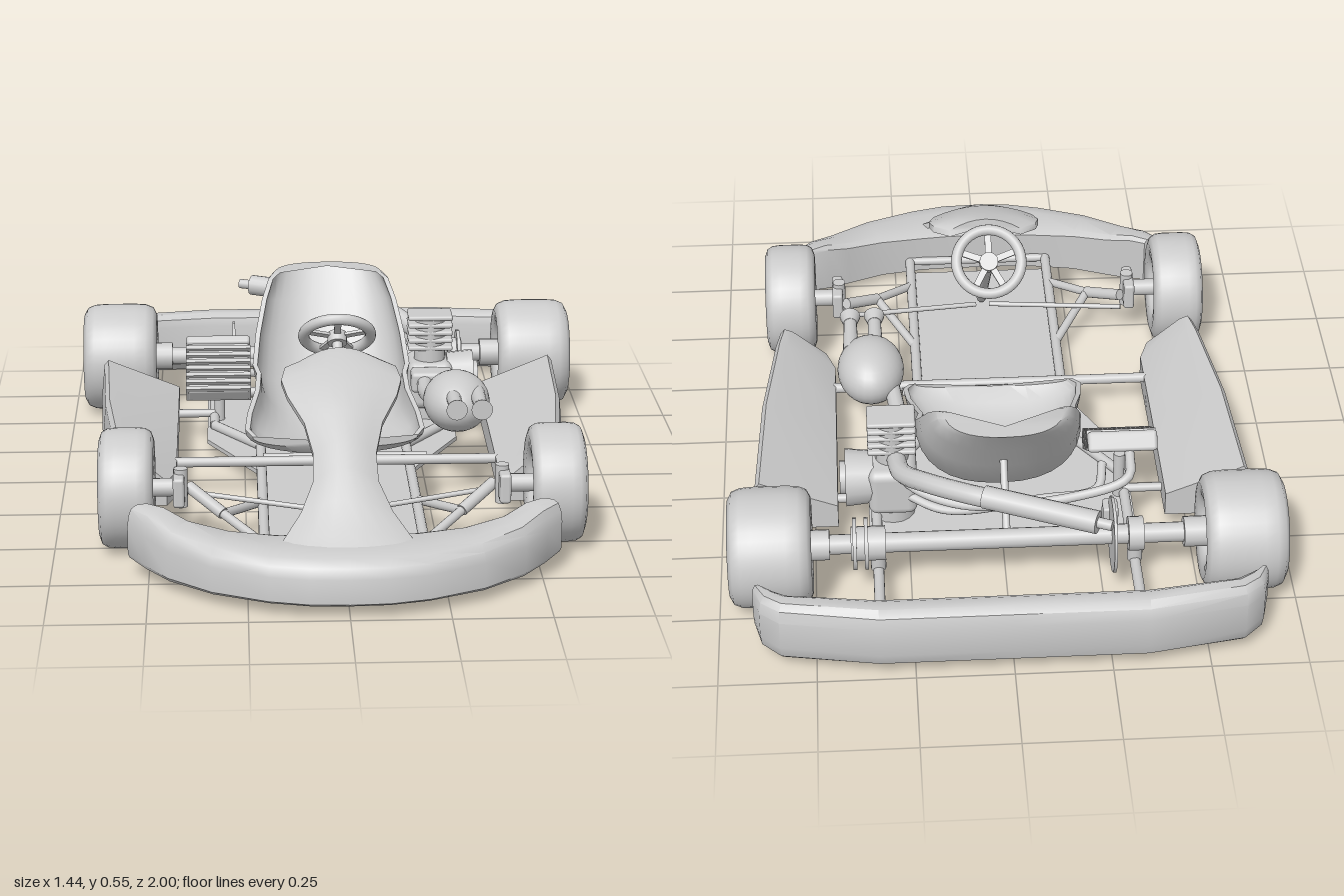
import * as THREE from 'three';
import { toCreasedNormals } from 'three/addons/utils/BufferGeometryUtils.js';
import { RoundedBoxGeometry } from 'three/addons/geometries/RoundedBoxGeometry.js';

const material = new THREE.MeshStandardMaterial({ color: 0xcccccc });
const V = (p) => new THREE.Vector3(...p);

function add(parent, name, geometry, pos = [0, 0, 0], rot = [0, 0, 0]) {
  const mesh = new THREE.Mesh(geometry, material);
  mesh.name = name;
  mesh.position.set(...pos);
  mesh.rotation.set(...rot);
  parent.add(mesh);
  return mesh;
}

// Straight round bar between two points
function rod(parent, name, a, b, r = 0.012, r2 = r) {
  const d = V(b).sub(V(a));
  const mesh = add(parent, name, new THREE.CylinderGeometry(r2, r, d.length(), 16));
  mesh.position.copy(V(a)).addScaledVector(d, 0.5);
  mesh.quaternion.setFromUnitVectors(new THREE.Vector3(0, 1, 0), d.normalize());
  return mesh;
}

function hose(parent, name, pts, r) {
  return add(parent, name, new THREE.TubeGeometry(new THREE.CatmullRomCurve3(pts.map(V)), 40, r, 12));
}

// Capped skin over closed cross-sections, turned outward by its signed volume
function loft(rings, crease = 0.6) {
  const n = rings[0].length, last = rings.length - 1, pos = rings.flat(2), idx = [];
  for (let i = 0; i < last; i++) for (let j = 0; j < n; j++) {
    const a = i * n + j, b = i * n + (j + 1) % n;
    idx.push(a, b, a + n, b, b + n, a + n);
  }
  [0, last].forEach((i, k) => {
    const c = pos.length / 3;
    for (let d = 0; d < 3; d++) pos.push(rings[i].reduce((s, p) => s + p[d], 0) / n);
    for (let j = 0; j < n; j++) {
      const a = i * n + j, b = i * n + (j + 1) % n;
      idx.push(c, ...(k ? [a, b] : [b, a]));
    }
  });
  const at = (i) => new THREE.Vector3().fromArray(pos, i * 3);
  let volume = 0;
  for (let i = 0; i < idx.length; i += 3) volume += at(idx[i]).dot(at(idx[i + 1]).cross(at(idx[i + 2])));
  if (volume < 0) idx.reverse();
  const g = new THREE.BufferGeometry();
  g.setAttribute('position', new THREE.Float32BufferAttribute(pos, 3));
  g.setIndex(idx);
  return toCreasedNormals(g, crease);
}

// Bumper from half stations [outer x, outer z, inner x, inner z, bottom, top]
function bumper(half, section) {
  const all = [...half.slice(1).reverse().map(([a, b, c, d, e, f]) => [-a, b, -c, d, e, f]), ...half];
  return loft(all.map(([xo, zo, xi, zi, y0, y1]) =>
    section.map(([u, v]) => [xo + (xi - xo) * u, y0 + (y1 - y0) * v, zo + (zi - zo) * u])));
}

function wheel(width, rim) {
  const w = width / 2, r = 0.157;
  const profile = [[0, -w * 0.3], [rim * 0.75, -w * 0.3], [rim * 0.95, -w * 0.85], [rim * 1.1, -w * 0.95], [r * 0.8, -w],
    [r * 0.93, -w * 0.9], [r * 0.985, -w * 0.7], [r, -w * 0.4], [r, w * 0.4], [r * 0.985, w * 0.7], [r * 0.93, w * 0.9],
    [r * 0.8, w], [rim * 1.1, w * 0.95], [rim * 0.95, w * 0.85], [rim * 0.75, w * 0.25], [0.03, w * 0.2],
    [0.026, w * 0.45], [0.012, w * 0.5], [0, w * 0.5]].map((p) => new THREE.Vector2(...p));
  return toCreasedNormals(new THREE.LatheGeometry(profile, 40), 0.75);
}

export function createModel() {
  const kart = new THREE.Group();
  kart.name = 'goKart';

  // Floor pan
  const pan = new THREE.Shape([[-0.2, -0.73], [0.2, -0.73], [0.21, -0.09], [0.355, 0.18], [0.355, 0.55],
    [-0.355, 0.55], [-0.355, 0.18], [-0.21, -0.09]].map((p) => new THREE.Vector2(...p)));
  add(kart, 'floorPan', new THREE.ExtrudeGeometry(pan, { depth: 0.012, bevelEnabled: false }), [0, 0.05, 0], [-Math.PI / 2, 0, 0]);

  // Nose bumper and steering fairing
  add(kart, 'noseBumper', bumper([[0, 0.995, 0, 0.79, 0.035, 0.16], [0.1, 0.99, 0.085, 0.79, 0.035, 0.16],
    [0.2, 0.965, 0.17, 0.785, 0.035, 0.158], [0.34, 0.9, 0.29, 0.765, 0.035, 0.162], [0.45, 0.81, 0.39, 0.725, 0.036, 0.172],
    [0.51, 0.745, 0.45, 0.69, 0.045, 0.193], [0.553, 0.69, 0.495, 0.667, 0.055, 0.195]],
  [[0.08, 0], [0, 0.08], [0, 0.6], [0.06, 0.8], [0.18, 0.94], [0.4, 1], [0.85, 1], [1, 0.92], [1, 0]]));
  const fairing = [[0.93, 0.145, 0.24], [0.86, 0.185, 0.17], [0.79, 0.245, 0.115], [0.72, 0.3, 0.083], [0.65, 0.35, 0.08],
    [0.57, 0.405, 0.1], [0.49, 0.452, 0.142], [0.43, 0.475, 0.156], [0.38, 0.493, 0.145], [0.345, 0.5, 0.1]];
  const across = [-1, -0.75, -0.5, -0.25, 0, 0.25, 0.5, 0.75, 1];
  add(kart, 'steeringFairing', loft(fairing.map(([z, y, w]) => [
    ...across.map((u) => [u * w, y - 0.035 * u * u, z]),
    ...across.slice().reverse().map((u) => [u * w, y - 0.015 - 0.035 * u * u, z - 0.008])]), 0.8));

  // Rear bumper
  add(kart, 'rearBumper', bumper([[0, -1, 0, -0.91, 0.035, 0.21], [0.34, -1, 0.34, -0.91, 0.035, 0.21],
    [0.59, -0.955, 0.57, -0.88, 0.035, 0.21], [0.64, -0.91, 0.6, -0.86, 0.04, 0.205], [0.658, -0.84, 0.635, -0.835, 0.055, 0.195]],
  [[0.3, 0], [0.08, 0.1], [0, 0.28], [0, 0.75], [0.12, 0.92], [0.35, 1], [0.7, 1], [0.92, 0.93], [1, 0.8], [1, 0.12], [0.8, 0]]));

  // Bucket seat
  const seat = [[0.13, 0.05, 0.215, 0.02, 1, 0], [0.1, 0.015, 0.235, 0.06, 1, 0], [0.08, -0.06, 0.228, 0.1, 1, 0],
    [0.075, -0.16, 0.205, 0.14, 1, 0], [0.085, -0.27, 0.2, 0.18, 0.9, 0.3], [0.15, -0.385, 0.21, 0.18, 0.6, 0.7],
    [0.27, -0.465, 0.2, 0.14, 0.4, 0.9], [0.37, -0.53, 0.18, 0.115, 0.3, 0.95], [0.44, -0.58, 0.16, 0.105, 0.1, 1],
    [0.462, -0.597, 0.14, 0.1, 0, 1]];
  const angles = Array.from({ length: 17 }, (_, i) => (i / 16 - 0.5) * Math.PI);
  const seatRow = ([y, z, w, h, dy, dz], gap) => angles.map((a) => {
    const c = Math.max(0, Math.cos(a)), lift = h * (1 - c ** 0.8) - gap * c;
    return [(w + gap) * Math.sign(a) * Math.abs(Math.sin(a)) ** 0.85, y + dy * lift, z + dz * lift];
  });
  add(kart, 'seat', loft(seat.map((s) => [...seatRow(s, 0), ...seatRow(s, 0.014).reverse()]), 0.9));

  // Mirrored parts
  const rearTyre = wheel(0.215, 0.085), frontTyre = wheel(0.143, 0.085);
  for (const s of [-1, 1]) {
    const side = new THREE.Group();
    side.name = s > 0 ? 'leftSide' : 'rightSide';
    kart.add(side);
    const turn = [0, 0, -s * Math.PI / 2];
    add(side, 'rearWheel', rearTyre, [s * 0.613, 0.163, -0.652], turn);
    add(side, 'frontWheel', frontTyre, [s * 0.56, 0.163, 0.47], turn);
    rod(side, 'rearHub', [s * 0.46, 0.163, -0.652], [s * 0.57, 0.163, -0.652], 0.04);
    rod(side, 'axleBearing', [s * 0.315, 0.163, -0.652], [s * 0.355, 0.163, -0.652], 0.045);
    rod(side, 'bearingPost', [s * 0.335, 0.08, -0.652], [s * 0.335, 0.163, -0.652], 0.02);

    // Side pod
    const pod = [[-0.455, 0.665, 0.06, 0.215], [-0.1, 0.648, 0.05, 0.212], [0.2, 0.613, 0.035, 0.2], [0.27, 0.6, 0.035, 0.196]];
    add(side, 'sidePod', loft(pod.map(([z, x, y0, y1], i) => [[0.437 + (i === 3 ? 0.025 : 0), y0], [x - 0.04, y0], [x, y0 + 0.04],
      [x - 0.01, y1 - 0.015], [x - 0.022, y1], [x - 0.045, y1 - 0.01], [0.437 + (i === 3 ? 0.025 : 0), y0 + 0.07]]
      .map(([px, py]) => [s * px, py, z])), 0.5));

    // Frame rails and pod bars
    rod(side, 'frontRail', [s * 0.205, 0.07, -0.1], [s * 0.205, 0.07, 0.84], 0.014);
    rod(side, 'middleRail', [s * 0.205, 0.07, -0.1], [s * 0.335, 0.07, -0.28], 0.014);
    rod(side, 'rearRail', [s * 0.335, 0.07, -0.28], [s * 0.335, 0.09, -0.93], 0.014);
    rod(side, 'podRearBar', [s * 0.33, 0.08, -0.36], [s * 0.47, 0.08, -0.36]);

    // Front suspension and stub axle
    const joint = [s * 0.31, 0.11, 0.53];
    rod(side, 'suspensionArm', [s * 0.205, 0.07, 0.34], joint);
    rod(side, 'suspensionArm', [s * 0.205, 0.07, 0.65], joint);
    rod(side, 'steeringYoke', joint, [s * 0.4, 0.155, 0.445], 0.016);
    rod(side, 'kingpin', [s * 0.42, 0.11, 0.47], [s * 0.42, 0.215, 0.47], 0.018);
    add(side, 'brakeCaliper', new RoundedBoxGeometry(0.03, 0.08, 0.11, 2, 0.008), [s * 0.425, 0.163, 0.47]);
    rod(side, 'stubAxle', [s * 0.41, 0.163, 0.47], [s * 0.55, 0.163, 0.47], 0.024);
    rod(side, 'tieRod', [s * 0.02, 0.1, 0.5], [s * 0.4, 0.13, 0.42], 0.007);
  }
  rod(kart, 'podCrossBar', [-0.47, 0.1, 0.11], [0.47, 0.1, 0.11], 0.014);
  rod(kart, 'podCrossBar', [-0.2, 0.1, 0.08], [0.25, 0.1, 0.08]);
  rod(kart, 'frontCrossBar', [-0.205, 0.07, 0.78], [0.205, 0.07, 0.78]);
  rod(kart, 'rearCrossBar', [-0.335, 0.08, -0.55], [0.335, 0.08, -0.55], 0.014);
  rod(kart, 'seatStay', [0, 0.163, -0.652], [0, 0.3, -0.5], 0.01);

  // Rear axle, brake disc and sprocket
  rod(kart, 'rearAxle', [-0.52, 0.163, -0.652], [0.52, 0.163, -0.652], 0.026);
  rod(kart, 'brakeDisc', [-0.28, 0.163, -0.652], [-0.272, 0.163, -0.652], 0.1);
  add(kart, 'discCaliper', new RoundedBoxGeometry(0.04, 0.07, 0.05, 2, 0.006), [-0.276, 0.163, -0.57]);
  for (const x of [0.365, 0.395]) rod(kart, 'sprocket', [x - 0.005, 0.163, -0.652], [x + 0.005, 0.163, -0.652], 0.068);
  rod(kart, 'sprocketHub', [0.355, 0.163, -0.652], [0.405, 0.163, -0.652], 0.045);

  // Steering wheel and column
  const steering = new THREE.Group();
  steering.name = 'steering';
  steering.position.set(0, 0.477, 0.165);
  steering.rotation.x = -Math.PI / 4;
  kart.add(steering);
  add(steering, 'wheelRim', new THREE.TorusGeometry(0.09, 0.015, 12, 40), [0, 0, 0], [Math.PI / 2, 0, 0]);
  rod(steering, 'wheelHub', [0, -0.025, 0], [0, 0.005, 0], 0.026);
  for (const a of [0.35, 1.57, 2.79, 4.2, 5.22]) {
    add(steering, 'wheelSpoke', new THREE.BoxGeometry(0.085, 0.008, 0.018),
      [Math.cos(a) * 0.05, -0.004, Math.sin(a) * 0.05], [0, -a, 0]);
  }
  rod(steering, 'steeringColumn', [0, -0.56, 0], [0, -0.01, 0], 0.014);

  // Engine with finned cylinder and clutch
  const engine = new THREE.Group();
  engine.name = 'engine';
  kart.add(engine);
  add(engine, 'crankcase', new RoundedBoxGeometry(0.13, 0.14, 0.15, 3, 0.025), [0.29, 0.165, -0.39]);
  rod(engine, 'clutchCover', [0.34, 0.175, -0.39], [0.415, 0.175, -0.39], 0.07, 0.078);
  rod(engine, 'clutchCap', [0.4, 0.175, -0.39], [0.43, 0.175, -0.39], 0.045);
  rod(engine, 'cylinder', [0.29, 0.2, -0.38], [0.29, 0.36, -0.38], 0.045);
  for (let i = 0; i < 5; i++) {
    add(engine, 'coolingFin', new RoundedBoxGeometry(0.128, 0.014, 0.09, 2, 0.006), [0.29, 0.275 + i * 0.0225, -0.38]);
  }
  add(engine, 'carburettor', new RoundedBoxGeometry(0.12, 0.06, 0.07, 2, 0.012), [0.29, 0.2, -0.28]);
  rod(engine, 'engineMount', [0.29, 0.05, -0.39], [0.29, 0.12, -0.39], 0.06);

  // Intake silencer with two trumpets
  const box = add(engine, 'airBox', new THREE.SphereGeometry(1, 28, 18), [0.337, 0.235, 0.01]);
  box.scale.set(0.092, 0.082, 0.12);
  hose(engine, 'intakePipe', [[0.27, 0.2, -0.28], [0.265, 0.2, -0.18], [0.28, 0.215, -0.05]], 0.022);
  for (const x of [0.322, 0.39]) {
    rod(engine, 'intakeTrumpet', [x, 0.27, 0.05], [x, 0.275, 0.18], 0.022, 0.018);
    rod(engine, 'trumpetMouth', [x, 0.275, 0.175], [x, 0.275, 0.21], 0.019, 0.029);
  }

  // Exhaust
  hose(engine, 'exhaustPipe', [[0.28, 0.25, -0.41], [0.265, 0.27, -0.5], [0.2, 0.305, -0.59], [0.1, 0.325, -0.665], [0.02, 0.33, -0.705]], 0.026);
  rod(engine, 'muffler', [0.06, 0.33, -0.685], [-0.22, 0.335, -0.81], 0.03);
  rod(engine, 'exhaustTip', [-0.21, 0.335, -0.806], [-0.255, 0.335, -0.825], 0.014);

  // Radiator with ribs and coolant hoses
  const radiator = new THREE.Group();
  radiator.name = 'radiator';
  radiator.position.set(-0.322, 0.222, -0.33);
  radiator.rotation.x = -0.95;
  kart.add(radiator);
  add(radiator, 'radiatorCore', new RoundedBoxGeometry(0.175, 0.185, 0.04, 2, 0.006));
  for (let i = 0; i < 7; i++) add(radiator, 'radiatorRib', new THREE.BoxGeometry(0.185, 0.012, 0.055), [0, -0.085 + i * 0.024, 0.003]);
  add(radiator, 'radiatorTank', new RoundedBoxGeometry(0.185, 0.03, 0.055, 2, 0.01), [0, 0.092, 0]);
  rod(kart, 'radiatorBracket', [-0.32, 0.06, -0.36], [-0.32, 0.2, -0.36], 0.015);
  hose(kart, 'coolantHose', [[-0.34, 0.25, -0.42], [-0.33, 0.22, -0.49], [-0.2, 0.18, -0.51], [0.1, 0.17, -0.52], [0.24, 0.2, -0.47], [0.28, 0.22, -0.4]], 0.013);
  hose(kart, 'coolantHose', [[-0.27, 0.2, -0.4], [-0.25, 0.17, -0.47], [-0.1, 0.15, -0.48], [0.15, 0.14, -0.5], [0.27, 0.16, -0.44]], 0.012);

  return kart;
}
